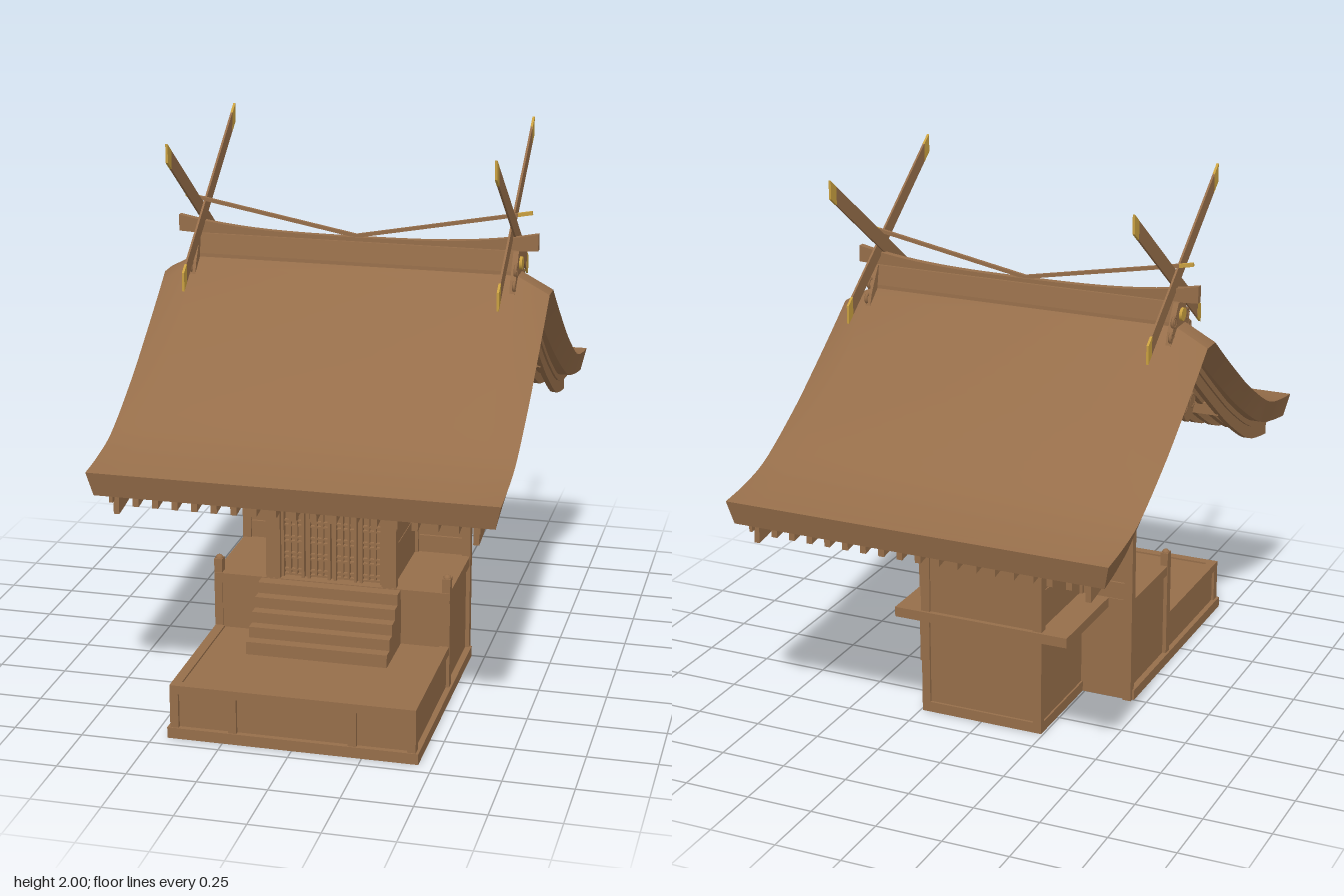
import * as THREE from 'three';
import { toCreasedNormals } from 'three/addons/utils/BufferGeometryUtils.js';

export function createModel() {
  const root = new THREE.Group();
  const wood = new THREE.MeshStandardMaterial({ color: 0x966e4a });
  wood.name = 'wood';
  const gold = new THREE.MeshStandardMaterial({ color: 0xc9a040 });
  gold.name = 'gold';

  const add = (name, geo, mat = wood) => {
    const m = new THREE.Mesh(geo, mat);
    m.name = name;
    root.add(m);
    return m;
  };
  // Box given by its limits on each axis
  const box = (name, x0, x1, y0, y1, z0, z1, mat) =>
    add(name, new THREE.BoxGeometry(x1 - x0, y1 - y0, z1 - z0)
      .translate((x0 + x1) / 2, (y0 + y1) / 2, (z0 + z1) / 2), mat);
  // The same box on the left and right
  const pair = (name, x0, x1, ...rest) => {
    box(name, x0, x1, ...rest);
    box(name, -x1, -x0, ...rest);
  };
  // Side-view outline of [z, y] points, given a thickness along x
  const slab = (name, pts, x, w, mat) => {
    const shape = new THREE.Shape(pts.map(p => new THREE.Vector2(p[0], p[1])));
    const g = new THREE.ExtrudeGeometry(shape, { depth: w, bevelEnabled: false });
    return add(name, g.translate(0, 0, -w / 2).rotateY(-Math.PI / 2).translate(x, 0, 0), mat);
  };

  // Roof curve from crest to eave, with a narrow flat crest
  const curve = new THREE.SplineCurve([[0.04, 1.507], [0.15, 1.415], [0.3, 1.295],
    [0.455, 1.178], [0.67, 1.042], [0.82, 0.99], [0.95, 0.963]].map(p => new THREE.Vector2(...p))).getPoints(56);
  const topY = z => {
    z = Math.max(Math.abs(z), 0.04);
    let i = 1;
    while (i < curve.length - 1 && curve[i].x < z) i++;
    const a = curve[i - 1], b = curve[i];
    return THREE.MathUtils.lerp(a.y, b.y, (z - a.x) / (b.x - a.x));
  };
  const rise = z => 1 - Math.abs(z) / 0.95;
  const drop = z => 0.067 * rise(z);
  const underY = z => topY(z) - drop(z) - 0.087 + 0.017 * rise(z);

  // Thatched roof: cross-sections lofted from back eave to front eave
  const zs = [];
  for (let i = 0; i <= 24; i++) zs.push(0.04 + 0.91 * i / 24);
  const stations = [...zs.map(z => -z).reverse(), ...zs];
  const N = stations.length - 1, pos = [], idx = [];
  for (const z of stations) {
    const t = topY(z), d = drop(z), b = underY(z), xb = 0.7 - 0.045 * rise(z);
    [[-0.72, t - d], [-0.6, t], [0.6, t], [0.72, t - d], [xb, b], [-xb, b]]
      .forEach(([x, y], k) => pos.push(x, y, k > 3 ? z * 0.98 : z));
  }
  for (let i = 0; i < N; i++) for (let k = 0; k < 6; k++) {
    const a = i * 6 + k, b = i * 6 + (k + 1) % 6;
    idx.push(a, a + 6, b, b, a + 6, b + 6);
  }
  for (let k = 1; k < 5; k++) {
    idx.push(0, k, k + 1);
    idx.push(N * 6, N * 6 + k + 1, N * 6 + k);
  }
  const roof = new THREE.BufferGeometry();
  roof.setAttribute('position', new THREE.Float32BufferAttribute(pos, 3));
  roof.setIndex(idx);
  add('roof', toCreasedNormals(roof, 0.6));

  // Rafters and gable boards follow the underside
  const follow = (zMax, up, down) => {
    const pts = [];
    for (let i = -16; i <= 16; i++) pts.push([zMax * i / 16, underY(zMax * i / 16) - down]);
    for (let i = 16; i >= -16; i--) pts.push([zMax * i / 16, underY(zMax * i / 16) + up]);
    return pts;
  };
  for (let i = -8; i <= 8; i++) slab('rafter', follow(0.9, 0.01, 0.048), i * 0.07, 0.022);
  for (const s of [1, -1]) {
    slab('gableBoard', follow(0.9, 0.01, 0.08), s * 0.63, 0.02);
    slab('gableTrim', follow(0.92, 0.01, 0.03), s * 0.642, 0.012);
    box('eaveBatten', -0.64, 0.64, 0.864, 0.89, s * 0.87 - 0.015, s * 0.87 + 0.015);
  }

  // Ridge body and upswept cap
  slab('ridge', [[-0.04, 1.49], [0.04, 1.49], [0.038, 1.52], [0.024, 1.592], [-0.024, 1.592], [-0.038, 1.52]], 0, 1.18);
  const cap = new THREE.BoxGeometry(1.34, 0.02, 0.026, 24, 1, 1);
  const cp = cap.attributes.position;
  for (let i = 0; i < cp.count; i++) {
    const u = Math.abs(cp.getX(i)) / 0.67;
    cp.setY(i, cp.getY(i) > 0 ? 1.607 + 0.048 * u ** 3 : 1.588 + 0.006 * u ** 8);
  }
  cap.computeVertexNormals();
  add('ridgeCap', cap);

  // Crossed finials, ridge poles and ridge end ornaments
  const beam = (name, s, x, f0, f1, w, mat) => {
    const z = f => s * (0.4 - 0.675 * f), y = f => 1.965 - 0.495 * f, h = 0.034;
    slab(name, [[z(f0), y(f0) - h], [z(f1), y(f1) - h], [z(f1), y(f1) + h], [z(f0), y(f0) + h]], x, w, mat);
  };
  for (const s of [1, -1]) {
    for (const c of [1, -1]) {
      const x = s * (0.579 + c * 0.0045);
      beam('finialBeam', c, x, 0.06, 0.95, 0.0075);
      beam('finialTip', c, x, 0, 0.06, 0.0085, gold);
      beam('finialFoot', c, x, 0.95, 1, 0.0085, gold);
    }
    const pole = (name, f0, f1, mat) => {
      const g = new THREE.BoxGeometry(0.656 * (f1 - f0), 0.013, 0.014);
      const m = add(name, g, mat);
      m.position.set(s * 0.645 * (f0 + f1) / 2, 1.61 + 0.12 * (f0 + f1) / 2, 0);
      m.rotation.z = s * Math.atan(0.12 / 0.645);
    };
    pole('ridgePole', 0, 0.92);
    pole('ridgePoleTip', 0.92, 1, gold);

    slab('ridgeEnd', [[-0.11, 1.43], [-0.05, 1.47], [0.05, 1.47], [0.11, 1.43], [0.085, 1.5],
      [0.05, 1.56], [0.03, 1.592], [-0.03, 1.592], [-0.05, 1.56], [-0.085, 1.5]], s * 0.594, 0.02);
    add('ridgeDisc', new THREE.CylinderGeometry(0.024, 0.024, 0.012, 16).rotateZ(Math.PI / 2)
      .translate(s * 0.608, 1.545, 0), gold);
    for (const c of [1, -1])
      for (const [z, y, r] of [[0.062, 1.53, 0.018], [0.088, 1.48, 0.015]])
        add('ridgeScroll', new THREE.TorusGeometry(r, 0.006, 6, 14).rotateY(Math.PI / 2).translate(s * 0.6, y, c * z));

    // Hanging gable pendant with curled lobes
    slab('gablePendant', [[0, 1.145], [0.035, 1.165], [0.06, 1.2], [0.06, 1.23], [0.025, 1.235], [0.02, 1.32],
      [-0.02, 1.32], [-0.025, 1.235], [-0.06, 1.23], [-0.06, 1.2], [-0.035, 1.165]], s * 0.632, 0.018);
    for (const c of [1, -1])
      add('pendantScroll', new THREE.TorusGeometry(0.024, 0.007, 6, 14).rotateY(Math.PI / 2)
        .translate(s * 0.636, 1.215, c * 0.036));
  }
  // Purlins
  for (const [z, y] of [[0, 1.33], [0.37, 1.075], [-0.37, 1.075]])
    box('purlin', -0.63, 0.63, y - 0.022, y + 0.022, z - 0.022, z + 0.022);

  // Front platform with a raised rim and recessed panels
  box('platformTop', -0.43, 0.43, 0.165, 0.193, 0.38, 0.94);
  box('platformRim', -0.44, 0.44, 0.168, 0.2, 0.91, 0.945);
  pair('platformRim', 0.405, 0.44, 0.168, 0.2, 0.39, 0.91);
  box('platformPanel', -0.425, 0.425, 0.03, 0.17, 0.92, 0.93);
  pair('platformPanel', 0.42, 0.43, 0.03, 0.17, 0.38, 0.93);
  box('platformSill', -0.45, 0.45, 0, 0.04, 0.91, 0.95);
  pair('platformSill', 0.41, 0.45, 0, 0.04, 0, 0.92);
  pair('platformPost', 0.41, 0.44, 0.03, 0.17, 0.91, 0.945);
  pair('platformPost', 0.2, 0.23, 0.03, 0.17, 0.91, 0.945);

  // Stairs
  for (let i = 0; i < 5; i++)
    box('step', -0.26, 0.26, 0.19, 0.241 + i * 0.041, 0.38, 0.61 - i * 0.042);

  // Veranda block with corner posts
  box('verandaDeck', -0.44, 0.44, 0.37, 0.408, -0.01, 0.395);
  box('verandaFront', -0.43, 0.43, 0.19, 0.38, 0.37, 0.385);
  pair('verandaSide', 0.415, 0.427, 0.03, 0.38, 0, 0.38);
  pair('verandaBack', 0.23, 0.43, 0, 0.38, -0.005, 0.005);
  pair('verandaPost', 0.412, 0.442, 0, 0.46, 0.355, 0.39);
  for (const s of [1, -1])
    add('postKnob', new THREE.SphereGeometry(0.015, 10, 6).translate(s * 0.427, 0.458, 0.372));

  // Rear box and its ledge
  box('rearLedge', -0.345, 0.345, 0.37, 0.408, -0.41, 0);
  box('rearBase', -0.235, 0.235, 0, 0.38, -0.39, -0.38);
  pair('rearBaseSide', 0.225, 0.235, 0, 0.38, -0.39, 0);
  pair('rearBasePost', 0.21, 0.242, 0, 0.38, -0.4, -0.375);
  box('rearBaseSill', -0.24, 0.24, 0, 0.04, -0.4, -0.38);
  pair('rearBaseSill', 0.225, 0.242, 0, 0.04, -0.38, 0);

  // Hall walls of spaced boards between posts
  for (const [y0, y1] of [[0.4, 0.548], [0.552, 0.703], [0.707, 1.02]]) {
    pair('sideBoard', 0.215, 0.23, y0, y1, 0.015, 0.36);
    pair('sideBoard', 0.215, 0.23, y0, y1, -0.37, -0.015);
  }
  box('backWall', -0.22, 0.22, 0.4, 1.08, -0.392, -0.378);
  for (const z of [0.375, 0, -0.382]) pair('hallPost', 0.207, 0.243, 0.4, 1.0, z - 0.018, z + 0.018);
  pair('hallFrontPost', 0.19, 0.24, 0.4, 1.03, 0.355, 0.393);
  const wallTop = [[-0.4, 0.97], [0.395, 0.97]];
  for (let i = 10; i >= -10; i--) wallTop.push([0.0398 * i, underY(0.0398 * i)]);
  for (const s of [1, -1]) {
    slab('gableWall', wallTop, s * 0.225, 0.025);
    for (const c of [1, -1])
      slab('gableBrace', [[0, 1.3], [c * 0.37, 1.0], [c * 0.37, 1.04], [0, 1.34]], s * 0.242, 0.015);
  }

  // Front lintel, brackets and beam noses
  box('lintel', -0.24, 0.24, 0.815, 0.86, 0.355, 0.39);
  box('frontUpperWall', -0.22, 0.22, 0.85, 1.08, 0.355, 0.375);
  for (const s of [1, -1]) {
    slab('beamNose', [[0.38, 0.828], [0.43, 0.83], [0.485, 0.85], [0.485, 0.862], [0.38, 0.862]], s * 0.217, 0.03);
    box('bracketBlock', s * 0.217 - 0.03, s * 0.217 + 0.03, 0.91, 0.935, 0.35, 0.415);
    box('bracketArm', s * 0.217 - 0.05, s * 0.217 + 0.05, 0.935, 0.965, 0.345, 0.425);
  }

  // Four lattice doors
  box('doorBack', -0.195, 0.195, 0.4, 0.83, 0.345, 0.352);
  for (let d = 0; d < 4; d++) {
    const x = -0.147 + d * 0.098;
    for (const s of [1, -1]) box('doorStile', x + s * 0.038 - 0.005, x + s * 0.038 + 0.005, 0.41, 0.815, 0.35, 0.375);
    for (const k of [-0.012, 0.012]) box('latticeBar', x + k - 0.004, x + k + 0.004, 0.42, 0.81, 0.35, 0.368);
    for (let r = 0; r <= 6; r++) for (const k of [-0.009, 0.009]) {
      const y = 0.427 + r * 0.063 + k;
      box('latticeRail', x - 0.037, x + 0.037, y - 0.003, y + 0.003, 0.35, 0.366);
    }
  }

  // Side screens standing on the veranda
  pair('screenPost', 0.41, 0.442, 0, 1.01, -0.016, 0.016);
  for (const [y0, y1] of [[0.4, 0.473], [0.477, 0.628], [0.632, 0.788], [0.792, 0.97]])
    pair('screenBoard', 0.235, 0.42, y0, y1, -0.006, 0.006);
  pair('screenRail', 0.235, 0.442, 0.965, 1.0, -0.013, 0.013);
  for (const s of [1, -1])
    add('screenKnob', new THREE.SphereGeometry(0.018, 10, 6).translate(s * 0.426, 1.013, 0));

  return root;
}
